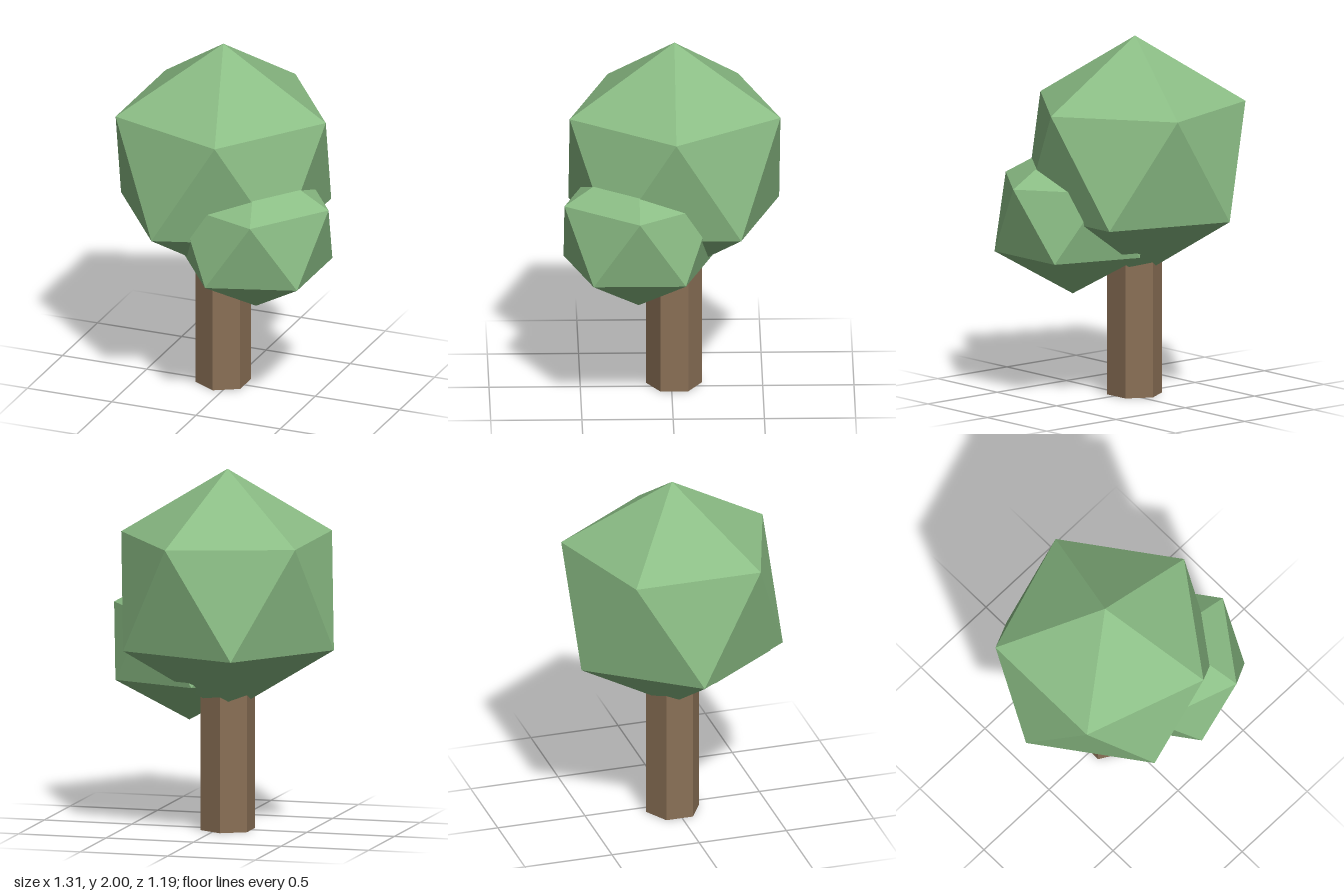
import * as THREE from 'three';

const GOLDEN = (1 + Math.sqrt(5)) / 2;

function addPart(group, name, geometry, color, position) {
  const material = new THREE.MeshStandardMaterial({ color, flatShading: true });
  const mesh = new THREE.Mesh(geometry, material);
  mesh.name = name;
  mesh.position.set(...position);
  group.add(mesh);
}

// Icosahedron standing on one corner, with an upper-ring corner towards +x
function foliage(radius, heightScale = 1) {
  return new THREE.IcosahedronGeometry(radius, 0)
    .rotateZ(-Math.atan(1 / GOLDEN))
    .scale(1, heightScale, 1);
}

export function createModel() {
  const tree = new THREE.Group();
  tree.name = 'tree';
  const bark = 0x8a7056;
  const leaf = 0x8bbd85;

  // Six-sided trunk, its top hidden inside the crown
  const trunkHeight = 0.95;
  addPart(tree, 'trunk', new THREE.CylinderGeometry(0.153, 0.153, trunkHeight, 6),
    bark, [-0.052, trunkHeight / 2, -0.014]);

  // Large crown and the smaller, slightly squashed clump at its front left
  addPart(tree, 'mainCrown', foliage(0.679, 0.997), leaf, [-0.052, 1.323, -0.017]);
  addPart(tree, 'sideCrown', foliage(0.481, 0.913), leaf, [0.225, 1.004, 0.184]);

  return tree;
}
